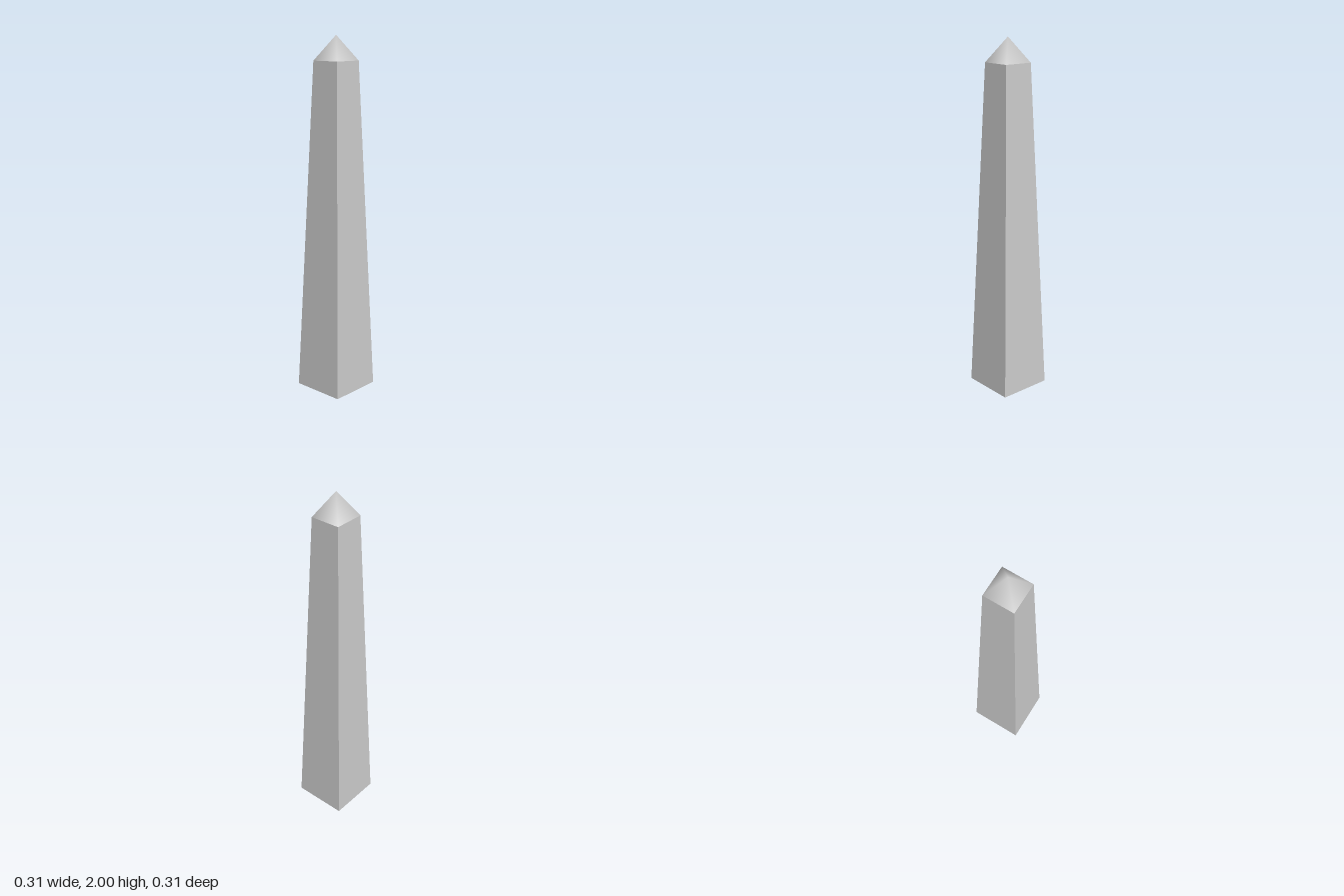
import * as THREE from 'three';
import { mergeVertices } from 'three/addons/utils/BufferGeometryUtils.js';

const BASE = 0.155;      // half width at the ground
const TOP = 0.086;       // half width under the cap
const SHAFT_H = 1.865;
const HEIGHT = 2;

// Four-sided frustum with its sides square to the axes
function squareFrustum(topHalf, bottomHalf, y0, y1, open) {
  const geometry = new THREE.CylinderGeometry(
    topHalf * Math.SQRT2, bottomHalf * Math.SQRT2, y1 - y0, 4, 1, open);
  geometry.rotateY(Math.PI / 4);
  geometry.translate(0, (y0 + y1) / 2, 0);
  return geometry;
}

export function createModel() {
  const group = new THREE.Group();
  group.name = 'obelisk';

  // Tapered shaft with crisp flat faces
  const shaft = new THREE.Mesh(
    squareFrustum(TOP, BASE, 0, SHAFT_H, false),
    new THREE.MeshStandardMaterial({ color: 0xcccccc, flatShading: true }));
  shaft.name = 'shaft';

  // Pyramid cap, shaded smoothly across its edges and tip
  let capGeometry = squareFrustum(0, TOP, SHAFT_H, HEIGHT, true);
  capGeometry.deleteAttribute('normal');
  capGeometry.deleteAttribute('uv');
  capGeometry = mergeVertices(capGeometry, 1e-4);
  capGeometry.computeVertexNormals();
  const cap = new THREE.Mesh(
    capGeometry, new THREE.MeshStandardMaterial({ color: 0xcccccc }));
  cap.name = 'pyramidCap';

  group.add(shaft, cap);
  return group;
}
